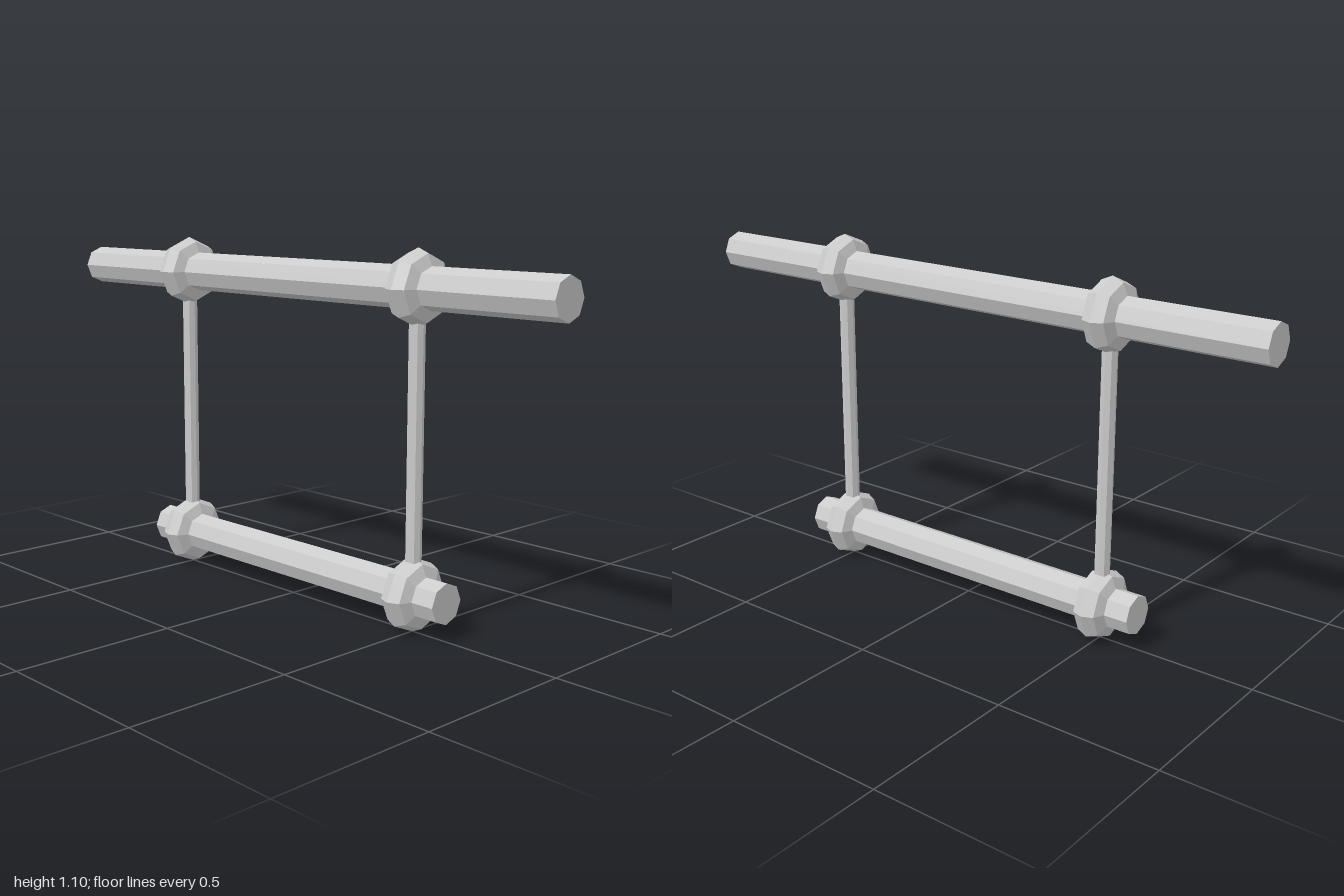
import * as THREE from 'three';

const SIDES = 8;
const TOP_Y = 0.989;
const LOW_Y = 0.114;
const POST_Z = 0.5;

export function createModel() {
  const model = new THREE.Group();
  model.name = 'railFrame';
  const material = new THREE.MeshStandardMaterial({ color: 0xcccccc, flatShading: true });

  const add = (name, geometry, y, z) => {
    const mesh = new THREE.Mesh(geometry, material);
    mesh.name = name;
    mesh.position.set(0, y, z);
    model.add(mesh);
  };
  const bar = (length) =>
    new THREE.CylinderGeometry(0.061, 0.061, length, SIDES).rotateX(Math.PI / 2);

  // Long upper rail and shorter lower rail, running front to back
  add('upperRail', bar(2), TOP_Y, 0);
  add('lowerRail', bar(1.25), LOW_Y, 0);

  // Thin posts, with a faceted ring round the rail at each joint
  const post = new THREE.CylinderGeometry(0.0235, 0.0235, TOP_Y - LOW_Y, SIDES);
  const ring = new THREE.TorusGeometry(0.061, 0.049, SIDES, SIDES);
  for (const [end, z] of [['front', POST_Z], ['back', -POST_Z]]) {
    add(end + 'Post', post, (TOP_Y + LOW_Y) / 2, z);
    add(end + 'UpperRing', ring, TOP_Y, z);
    add(end + 'LowerRing', ring, LOW_Y, z);
  }
  return model;
}
